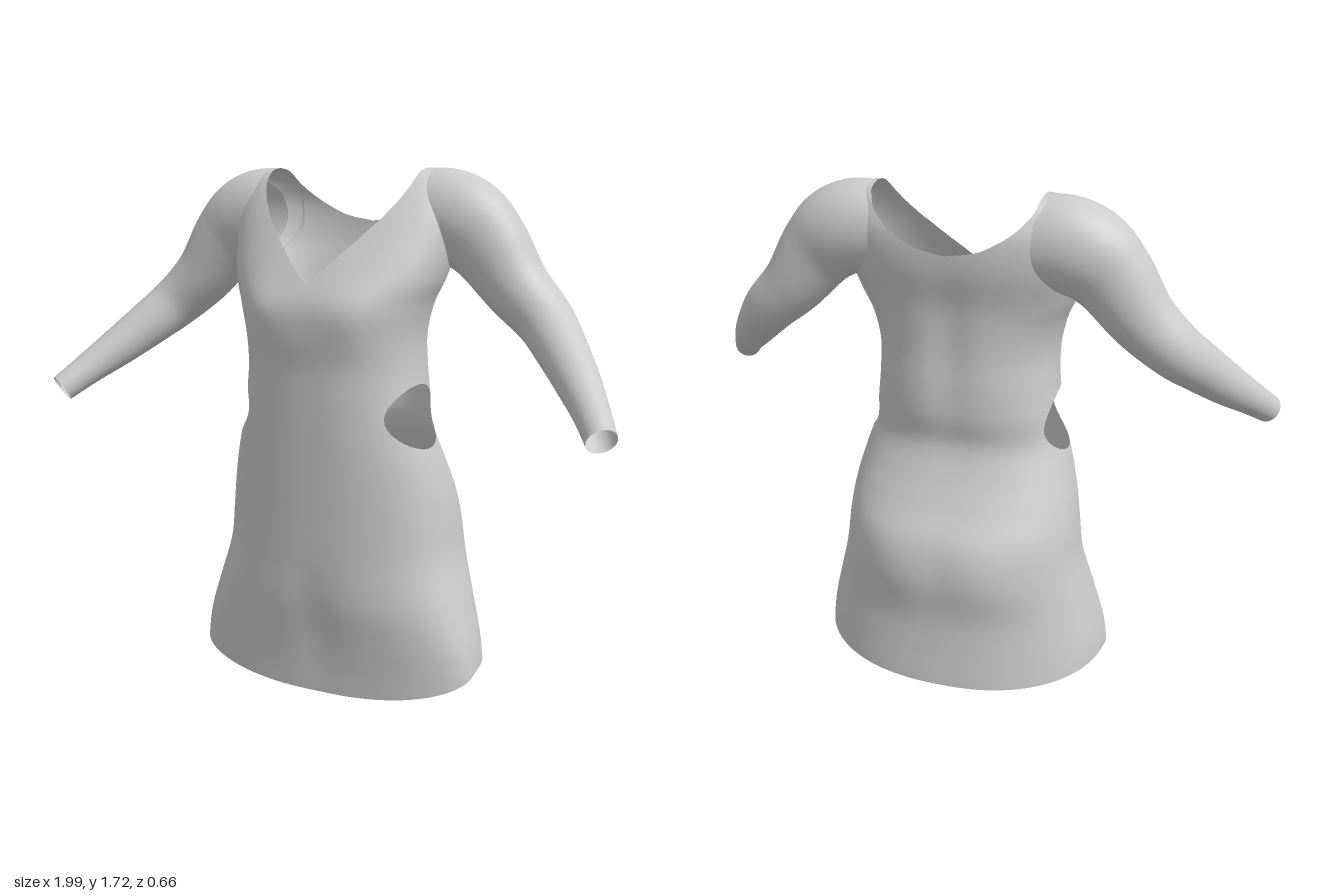
import * as THREE from 'three';

// Torso sections: y, half width, front z, back z, z of the widest line
const SECTIONS = [
  [0, 0.505, 0.21, -0.33, 0.07], [0.1, 0.502, 0.218, -0.325, 0.065], [0.2, 0.488, 0.232, -0.317, 0.055],
  [0.32, 0.455, 0.252, -0.312, 0.03], [0.47, 0.412, 0.26, -0.322, 0], [0.6, 0.395, 0.265, -0.305, 0],
  [0.7, 0.38, 0.27, -0.25, 0.01], [0.8, 0.355, 0.275, -0.2, 0.035], [0.9, 0.325, 0.28, -0.168, 0.055],
  [1.0, 0.308, 0.285, -0.182, 0.052], [1.1, 0.297, 0.29, -0.185, 0.052], [1.2, 0.297, 0.302, -0.18, 0.06],
  [1.3, 0.32, 0.3, -0.18, 0.055], [1.38, 0.355, 0.267, -0.185, 0.035], [1.5, 0.385, 0.2, -0.208, -0.01],
  [1.6, 0.39, 0.14, -0.208, -0.035], [1.67, 0.365, 0.09, -0.18, -0.045], [1.705, 0.335, 0.05, -0.15, -0.05],
  [1.718, 0.31, 0.01, -0.11, -0.05], [1.722, 0.3, -0.049, -0.051, -0.05],
];
const TOP = 1.722, POWER = 2.3;

// Neckline half width by height: y, front, back
const NECK = [
  [1.3, -0.07, -0.3], [1.37, 0, -0.2], [1.4, 0.035, -0.15], [1.5, 0.135, -0.06], [1.55, 0.18, 0],
  [1.56, 0.19, 0.08], [1.59, 0.213, 0.15], [1.63, 0.24, 0.21], [1.68, 0.262, 0.255], [1.73, 0.27, 0.27],
];

// Sleeve centres and radii from the neck edge over the shoulder: x, y, z, radius across, radius in depth
const SLEEVE = [
  [0.25, 1.575, -0.055, 0.143, 0.122], [0.34, 1.572, -0.055, 0.148, 0.126],
  [0.41, 1.543, -0.052, 0.145, 0.122], [0.475, 1.487, -0.048, 0.13, 0.108],
  [0.575, 1.36, -0.042, 0.105, 0.1], [0.675, 1.265, -0.02, 0.09, 0.092], [0.75, 1.19, 0.045, 0.08, 0.08],
  [0.83, 1.108, 0.13, 0.068, 0.068], [0.9, 1.035, 0.218, 0.055, 0.055], [0.955, 0.972, 0.297, 0.047, 0.046],
];

// Smooth interpolation of one column of a table keyed by its first column
function sample(table, y, col) {
  const last = table.length - 1;
  if (y <= table[0][0]) return table[0][col];
  if (y >= table[last][0]) return table[last][col];
  let i = 0;
  while (table[i + 1][0] < y) i++;
  const slope = k => {
    const a = table[Math.max(0, k - 1)], b = table[Math.min(last, k + 1)];
    return (b[col] - a[col]) / (b[0] - a[0]);
  };
  const d = table[i + 1][0] - table[i][0], t = (y - table[i][0]) / d;
  const t2 = t * t, t3 = t2 * t;
  return table[i][col] * (2 * t3 - 3 * t2 + 1) + slope(i) * d * (t3 - 2 * t2 + t)
    + table[i + 1][col] * (3 * t2 - 2 * t3) + slope(i + 1) * d * (t3 - t2);
}

function section(y) {
  const [w, f, b, zc] = [1, 2, 3, 4].map(c => sample(SECTIONS, y, c));
  return { w, zc, front: Math.max(0.001, f - zc), back: Math.max(0.001, zc - b) };
}

// Wrapped grid surface, trimmed to where every keep rule is positive
function trimmedSurface(rows, cols, pointAt, rules, flip = false) {
  const pos = [], index = [];
  for (let i = 0; i <= rows; i++)
    for (let j = 0; j < cols; j++) pos.push(...pointAt(i / rows, j / cols * Math.PI * 2).toArray());
  for (let i = 0; i < rows; i++)
    for (let j = 0; j < cols; j++) {
      const k = (j + 1) % cols, a = i * cols + j, b = i * cols + k, c = a + cols, d = b + cols;
      index.push(...(flip ? [a, b, c, b, d, c] : [a, c, b, b, c, d]));
    }
  const full = new THREE.BufferGeometry();
  full.setAttribute('position', new THREE.Float32BufferAttribute(pos, 3));
  full.setIndex(index);
  full.computeVertexNormals();

  const verts = [];
  for (let i = 0; i < full.attributes.position.count; i++) {
    verts.push({
      p: new THREE.Vector3().fromBufferAttribute(full.attributes.position, i),
      n: new THREE.Vector3().fromBufferAttribute(full.attributes.normal, i),
    });
  }
  const outP = [], outN = [];
  for (let i = 0; i < index.length; i += 3) {
    let poly = [verts[index[i]], verts[index[i + 1]], verts[index[i + 2]]];
    for (const rule of rules) {
      const f = poly.map(v => rule(v.p)), next = [];
      poly.forEach((v, k) => {
        const m = (k + 1) % poly.length, u = poly[m];
        if (f[k] >= 0) next.push(v);
        if ((f[k] >= 0) !== (f[m] >= 0)) {
          const t = f[k] / (f[k] - f[m]);
          next.push({ p: v.p.clone().lerp(u.p, t), n: v.n.clone().lerp(u.n, t).normalize() });
        }
      });
      poly = next;
      if (!poly.length) break;
    }
    for (let k = 1; k + 1 < poly.length; k++)
      for (const v of [poly[0], poly[k], poly[k + 1]]) { outP.push(...v.p.toArray()); outN.push(...v.n.toArray()); }
  }
  const geo = new THREE.BufferGeometry();
  geo.setAttribute('position', new THREE.Float32BufferAttribute(outP, 3));
  geo.setAttribute('normal', new THREE.Float32BufferAttribute(outN, 3));
  return geo;
}

const bump = (x, y, cx, cy, rx, ry) => Math.exp(-(((x - cx) / rx) ** 2) - ((y - cy) / ry) ** 2);

function torsoPoint(t, angle) {
  const y = TOP * (1 - (1 - t) ** 1.5), { w, zc, front, back } = section(y);
  const c = Math.cos(angle), s = Math.sin(angle), e = 2 / POWER;
  const x = w * Math.sign(c) * Math.abs(c) ** e;
  let z = zc + (s > 0 ? front : back) * Math.sign(s) * Math.abs(s) ** e;
  // Bust, hollow between the thighs, seat and spine
  if (s > 0) z += s * (0.018 * bump(Math.abs(x), y, 0.17, 1.27, 0.09, 0.09) - 0.012 * bump(x, y, 0, 0.26, 0.07, 0.16));
  else z += s * (0.012 * bump(Math.abs(x), y, 0.15, 0.5, 0.12, 0.12) - 0.014 * bump(x, y, 0, 1.2, 0.07, 0.25));
  return new THREE.Vector3(x, y, z);
}

// Trimming rules
function hemRule(p) {
  const hem = p.z > 0 ? 0.105 * (1 - Math.min(1, p.z / 0.212) ** 2.3) : 0.105 - 0.03 * (p.z / 0.32) ** 2;
  return p.y - hem - 0.002;
}
function neckRule(p) {
  const blend = THREE.MathUtils.smoothstep(p.z, -0.11, 0.02);
  return Math.abs(p.x) - THREE.MathUtils.lerp(sample(NECK, p.y, 2), sample(NECK, p.y, 1), blend);
}
function waistHoleRule(p) {
  if (Math.abs(p.x) < 0.15) return 1;
  return ((p.z - 0.077) / 0.137) ** 2 + ((p.y - 0.948) / 0.102) ** 2 - 1;
}
function outsideTorsoRule(p) {
  if (p.y > TOP) return 1;
  const { w, zc, front, back } = section(p.y);
  const depth = p.z > zc ? front : back;
  return (Math.abs(p.x) / w) ** POWER + (Math.abs(p.z - zc) / depth) ** POWER - 0.9;
}

const sleevePath = new THREE.CatmullRomCurve3(SLEEVE.map(s => new THREE.Vector3(s[0], s[1], s[2])));
const radii = [3, 4].map(c => SLEEVE.map((s, i) => [i / (SLEEVE.length - 1), s[c]]));
const armholeSpheres = [0.13, 0.18, 0.23, 0.28, 0.33, 0.38].map(t => ({
  c: sleevePath.getPoint(t), r: 0.9 * Math.min(sample(radii[0], t, 1), sample(radii[1], t, 1)),
}));
function armholeRule(p) {
  const q = new THREE.Vector3(Math.abs(p.x), p.y, p.z);
  return Math.min(...armholeSpheres.map(s => q.distanceTo(s.c) - s.r));
}

function sleevePoint(t, angle, side) {
  const T = sleevePath.getTangent(t);
  const N = new THREE.Vector3(0, 0, 1).cross(T).normalize();
  const M = N.clone().cross(T);
  const p = sleevePath.getPoint(t)
    .addScaledVector(N, Math.cos(angle) * sample(radii[0], t, 1))
    .addScaledVector(M, Math.sin(angle) * sample(radii[1], t, 1));
  p.x *= side;
  return p;
}

export function createModel() {
  const group = new THREE.Group();
  group.name = 'dress';
  const cloth = new THREE.MeshStandardMaterial({ color: 0xcccccc, side: THREE.DoubleSide });
  const add = (name, geometry) => {
    const mesh = new THREE.Mesh(geometry, cloth);
    mesh.name = name;
    group.add(mesh);
  };
  // Body with hem, neckline, waist cutouts and armholes
  add('dressBody', trimmedSurface(110, 120, torsoPoint, [hemRule, neckRule, waistHoleRule, armholeRule]));
  // Sleeves with their shoulder caps
  for (const side of [1, -1]) {
    add(side > 0 ? 'leftSleeve' : 'rightSleeve',
      trimmedSurface(80, 48, (t, a) => sleevePoint(t, a, side), [outsideTorsoRule, neckRule], side < 0));
  }
  return group;
}
